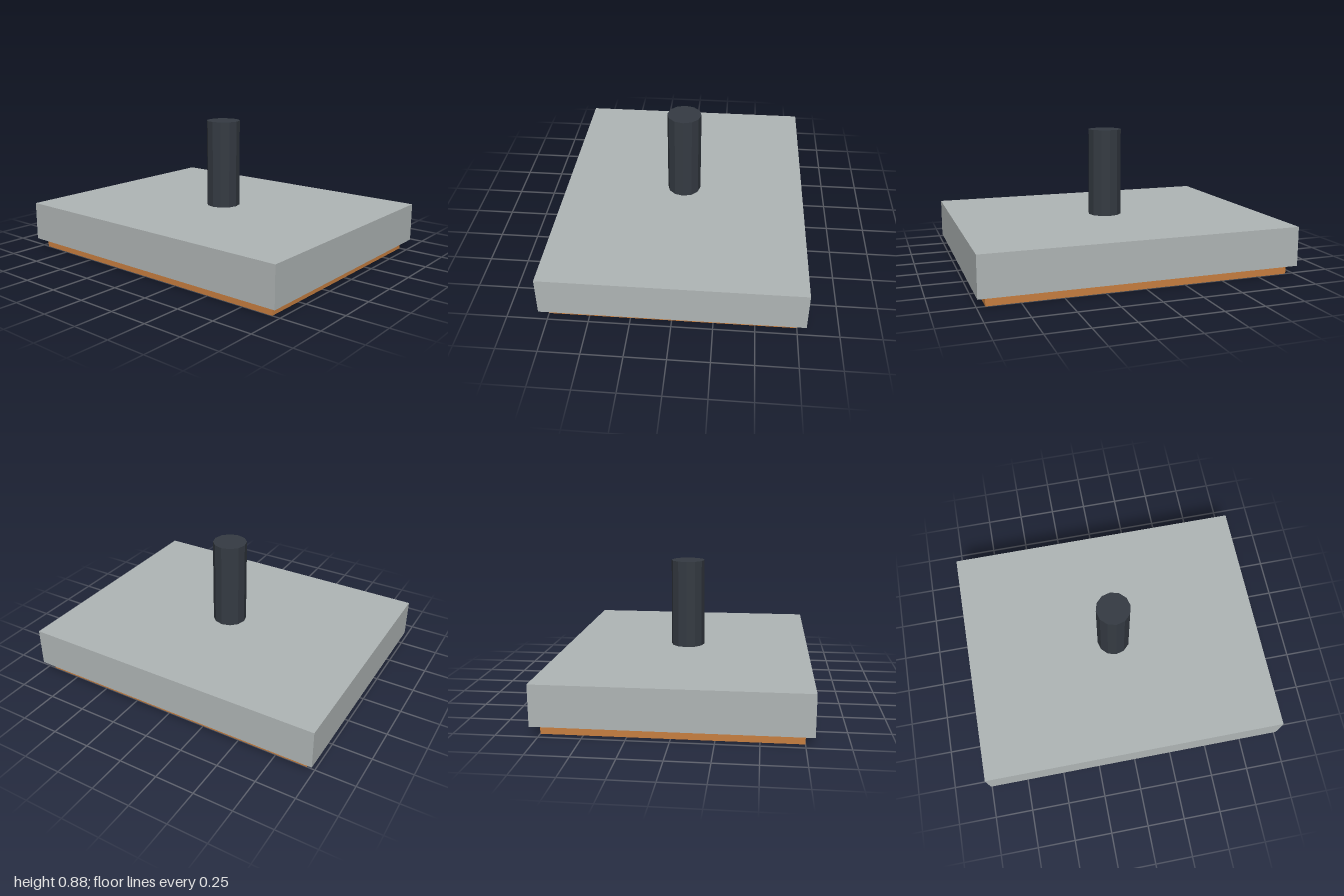
import * as THREE from 'three';

export function createModel() {
  const model = new THREE.Group();
  model.name = 'mountedPlate';

  const material = (name, color, flatShading = false) => {
    const m = new THREE.MeshStandardMaterial({ color, flatShading });
    m.name = name;
    return m;
  };
  const grey = material('plate grey', 0xb0b6b6);
  const copper = material('copper', 0xc87f40);
  const dark = material('dark steel', 0x353b43, true);

  // Adds a part whose underside sits at the given height
  const addPart = (name, geometry, mat, bottom, height) => {
    const mesh = new THREE.Mesh(geometry, mat);
    mesh.name = name;
    mesh.position.y = bottom + height / 2;
    model.add(mesh);
  };

  // Thin copper sole, inset below the main plate
  addPart('solePlate', new THREE.BoxGeometry(1.9, 0.06, 1.5), copper, 0, 0.06);
  // Thick grey body
  addPart('bodyPlate', new THREE.BoxGeometry(2, 0.25, 1.6), grey, 0.06, 0.25);
  // Faceted upright post
  addPart('post', new THREE.CylinderGeometry(0.11, 0.11, 0.57, 12), dark, 0.31, 0.57);

  return model;
}
